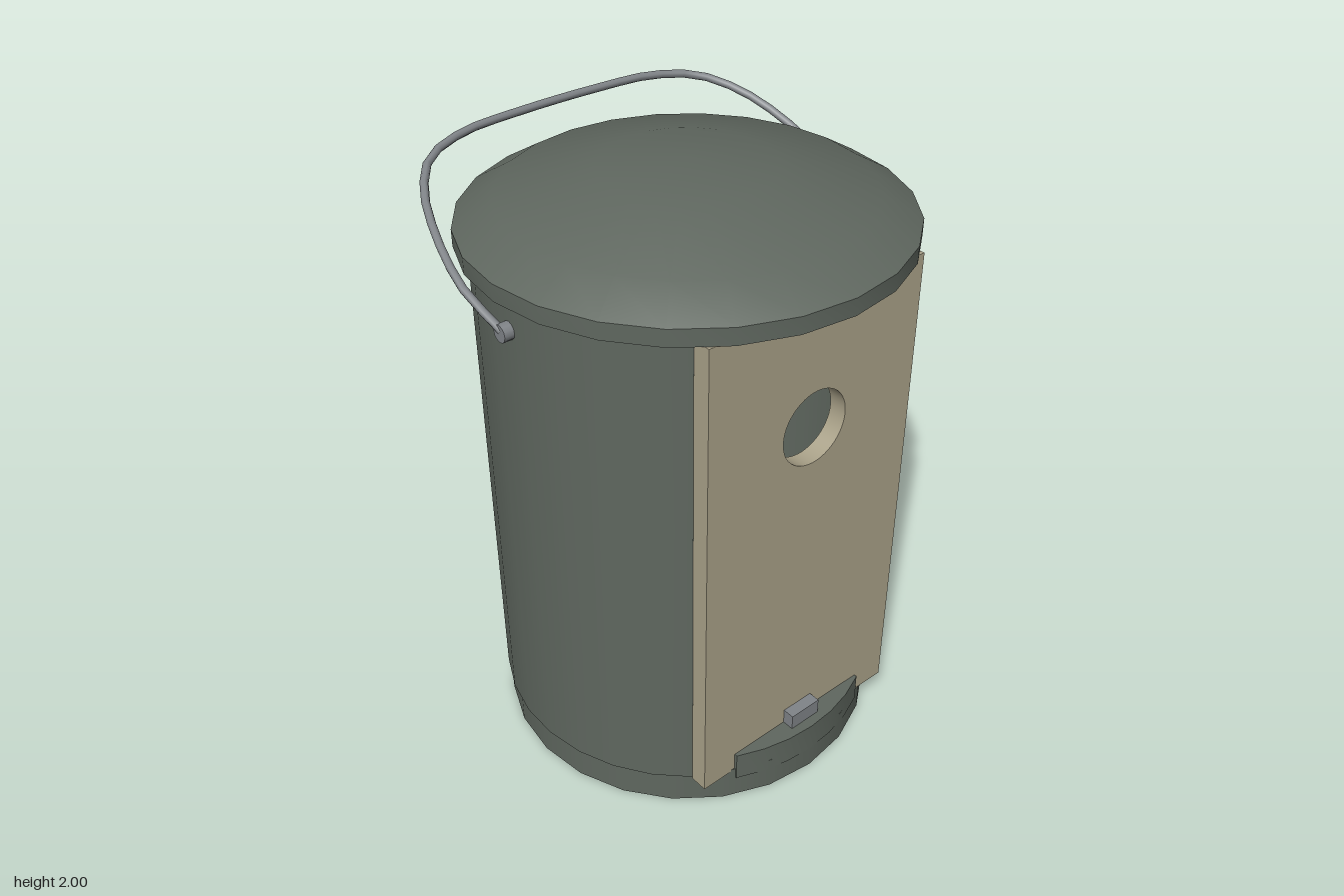
import * as THREE from 'three';
import { toCreasedNormals } from 'three/addons/utils/BufferGeometryUtils.js';

const material = (color, side = THREE.FrontSide) =>
  new THREE.MeshStandardMaterial({ color, side });

export function createModel() {
  const model = new THREE.Group();
  const green = material(0x5f675f);
  const greenShell = material(0x5f675f, THREE.DoubleSide);
  const wood = material(0xaba38a);
  const metal = material(0x808488);

  const add = (name, geometry, mat, x = 0, y = 0, z = 0) => {
    const mesh = new THREE.Mesh(geometry, mat);
    mesh.name = name;
    mesh.position.set(x, y, z);
    model.add(mesh);
    return mesh;
  };

  // Round base plate
  const baseRadius = 0.64;
  add('base', new THREE.CylinderGeometry(baseRadius, baseRadius, 0.12, 24), green, 0, 0.06, 0);

  // Curved wall, open at the front where the panel sits
  const gap = Math.atan2(0.41, 0.505);
  add('wall', new THREE.CylinderGeometry(0.65, 0.65, 1.66, 24, 1, true, gap, 2 * Math.PI - 2 * gap),
    greenShell, 0, 0.95, 0);

  // Domed lid with a closed underside
  const lidProfile = [[0, 1.78], [0.69, 1.78], [0.69, 1.835], [0.57, 1.905], [0.27, 1.98], [0, 2]]
    .map(([r, y]) => new THREE.Vector2(r, y));
  add('lid', toCreasedNormals(new THREE.LatheGeometry(lidProfile, 24), 1), green);

  // Front panel with a round entrance hole
  const panel = new THREE.Shape();
  panel.moveTo(-0.41, 0.113).lineTo(0.41, 0.113).lineTo(0.41, 1.78).lineTo(-0.41, 1.78).closePath();
  const hole = new THREE.Path();
  hole.absarc(0, 1.355, 0.125, 0, 2 * Math.PI, true);
  panel.holes.push(hole);
  const panelGeometry = new THREE.ExtrudeGeometry(panel, { depth: 0.06, bevelEnabled: false, curveSegments: 24 });
  add('frontPanel', toCreasedNormals(panelGeometry, 0.6), wood, 0, 0, 0.505);

  // Raised lip of the base in front of the panel
  const lipAngle = Math.asin(0.28 / baseRadius);
  const lip = new THREE.Shape();
  lip.moveTo(-0.28, -0.56);
  for (let i = 0; i <= 6; i++) {
    const a = lipAngle * (i / 3 - 1);
    lip.lineTo(baseRadius * Math.sin(a), -baseRadius * Math.cos(a));
  }
  lip.lineTo(0.28, -0.56).closePath();
  const lipGeometry = new THREE.ExtrudeGeometry(lip, { depth: 0.105, bevelEnabled: false });
  lipGeometry.rotateX(-Math.PI / 2);
  add('baseLip', toCreasedNormals(lipGeometry, 0.6), green, 0, 0.08, 0);

  // Small latch above the lip
  add('latch', new THREE.BoxGeometry(0.12, 0.07, 0.045), metal, 0, 0.205, 0.583);

  // Bent wire handle, mirrored about x = 0 and leaning to the back
  const half = [
    [0.67, 1.68, 0], [0.7, 1.76, -0.12], [0.695, 1.79, -0.185], [0.665, 1.86, -0.32],
    [0.61, 1.92, -0.45], [0.52, 1.962, -0.555], [0.37, 1.983, -0.61], [0.16, 1.986, -0.63],
  ].map((p) => new THREE.Vector3(...p));
  const mirrored = half.map((p) => new THREE.Vector3(-p.x, p.y, p.z)).reverse();
  const wire = new THREE.CatmullRomCurve3([...half, ...mirrored]);
  add('handle', new THREE.TubeGeometry(wire, 30, 0.013, 8), metal);

  // Handle pivots on both sides
  for (const side of [-1, 1]) {
    const pivot = add(side > 0 ? 'leftPivot' : 'rightPivot',
      new THREE.CylinderGeometry(0.028, 0.028, 0.05, 12), metal, side * 0.655, 1.675, 0);
    pivot.rotation.z = Math.PI / 2;
  }

  return model;
}
